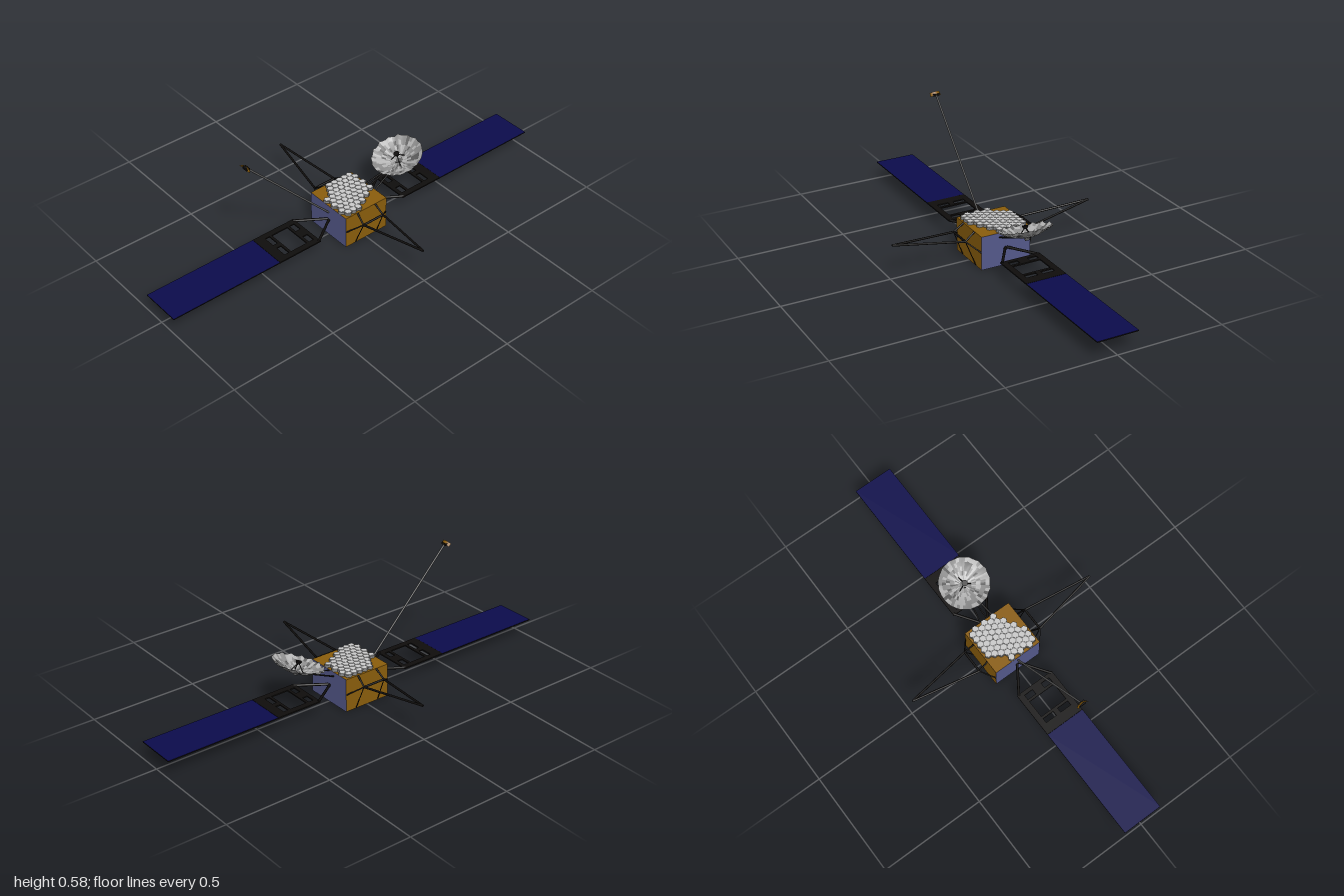
import * as THREE from 'three';

const mat = (name, color, side = THREE.FrontSide) => {
  const m = new THREE.MeshStandardMaterial({ color, side });
  m.name = name;
  return m;
};
const V = (x, y, z) => new THREE.Vector3(x, y, z);

export function createModel() {
  const root = new THREE.Group();
  root.name = 'spacecraft';
  const gold = mat('gold foil', 0x8a5d0c, THREE.DoubleSide);
  const blue = mat('slate blue side', 0x54588a);
  const navy = mat('solar navy', 0x0b0b4c);
  const black = mat('black strut', 0x0f0d0c);
  const grey = mat('mast grey', 0x5a5a5a);
  const white = mat('cell white', 0xcacaca);
  const cellGrey = mat('cell wall grey', 0x8c8c8c);
  const foilLight = mat('foil light', 0xb4b4b4, THREE.DoubleSide);
  const foilMid = mat('foil mid', 0x8e8e8e, THREE.DoubleSide);
  const foilDark = mat('foil dark', 0x626262, THREE.DoubleSide);

  const add = (parent, name, geo, m, x = 0, y = 0, z = 0) => {
    const mesh = new THREE.Mesh(geo, m);
    mesh.name = name;
    mesh.position.set(x, y, z);
    parent.add(mesh);
    return mesh;
  };
  const group = (name, parent = root) => {
    const g = new THREE.Group();
    g.name = name;
    parent.add(g);
    return g;
  };
  // Round bar between two points
  const bar = (parent, name, a, b, r, m = black) => {
    const mesh = add(parent, name, new THREE.CylinderGeometry(r, r, a.distanceTo(b), 8), m);
    mesh.position.copy(a).add(b).multiplyScalar(0.5);
    mesh.quaternion.setFromUnitVectors(V(0, 1, 0), b.clone().sub(a).normalize());
    return mesh;
  };

  // Body: foil box with blue side faces
  add(root, 'body', new THREE.BoxGeometry(0.23, 0.158, 0.24),
    [blue, blue, gold, gold, gold, gold], 0, 0.079, 0);

  // Hexagonal cells on the top deck, in a diagonal band
  const cells = group('topCells');
  const R = 0.0165, dx = R * Math.sqrt(3);
  const wall = new THREE.CylinderGeometry(R, R, 0.012, 6);
  const cap = new THREE.CylinderGeometry(R * 0.84, R * 0.84, 0.002, 6);
  for (let row = -4; row <= 4; row++) {
    for (let col = -4; col <= 4; col++) {
      const x = (col + (row % 2 ? 0.5 : 0)) * dx, z = row * R * 1.5;
      if (Math.abs(x) > 0.104 || x + z < -0.135 || x + z * 1.5 > 0.14) continue;
      add(cells, 'cellWall', wall, cellGrey, x, 0.164, z);
      add(cells, 'cellCap', cap, white, x, 0.171, z);
    }
  }

  // Solar wings, one on each side
  const rect = (x0, x1, z0, z1) => new THREE.Path([
    new THREE.Vector2(x0, z0), new THREE.Vector2(x0, z1),
    new THREE.Vector2(x1, z1), new THREE.Vector2(x1, z0)]);
  for (const s of [-1, 1]) {
    const wing = group(s > 0 ? 'leftWing' : 'rightWing');
    add(wing, 'solarPanel', new THREE.BoxGeometry(0.543, 0.005, 0.192),
      [black, black, navy, navy, black, black], s * 0.7285, 0.083, 0);

    // Open frame between yoke and panel
    const outline = new THREE.Shape([[0.235, -0.096], [0.456, -0.096], [0.456, 0.096], [0.235, 0.096]]
      .map(([x, z]) => new THREE.Vector2(x, z)));
    outline.holes.push(rect(0.29, 0.375, -0.068, 0.068));
    for (const k of [-1, 1]) {
      outline.holes.push(rect(0.387, 0.41, Math.min(k * 0.012, k * 0.068), Math.max(k * 0.012, k * 0.068)));
      outline.holes.push(rect(0.253, 0.278, Math.min(k * 0.024, k * 0.068), Math.max(k * 0.024, k * 0.068)));
    }
    const frame = new THREE.ExtrudeGeometry(outline, { depth: 0.006, bevelEnabled: false });
    frame.translate(0, 0, -0.003).rotateX(Math.PI / 2);
    if (s < 0) frame.rotateY(Math.PI);
    add(wing, 'wingFrame', frame, black, 0, 0.083, 0);

    // V-shaped yoke
    for (const k of [-1, 1]) {
      bar(wing, 'yokeArm', V(s * 0.115, 0.083, k * 0.004), V(s * 0.242, 0.083, k * 0.09), 0.006);
    }
  }

  // Pointed booms at front and back with their bracing
  for (const s of [-1, 1]) {
    const boom = group(s > 0 ? 'frontBoom' : 'backBoom');
    const tip = V(0, 0.157, s * 0.487);
    bar(boom, 'boomCrossbar', V(-0.055, 0.123, s * 0.167), V(0.055, 0.123, s * 0.167), 0.005);
    for (const k of [-1, 1]) {
      const knee = V(k * 0.055, 0.123, s * 0.167);
      bar(boom, 'boomLeg', knee, tip, 0.005);
      bar(boom, 'upperBrace', knee, V(k * 0.05, 0.157, s * 0.12), 0.004);
      bar(boom, 'sideBrace', knee, V(k * 0.113, 0.083, s * 0.12), 0.003);
      bar(boom, 'lowerBrace', knee, V(k * 0.06, 0.002, s * 0.12), 0.002);
    }
  }

  // Long sensor mast with a curved foil hood at its end
  const mast = group('sensorMast');
  const foot = V(-0.113, 0.12, 0), top = V(-0.54, 0.574, 0);
  bar(mast, 'mastPole', foot, top, 0.0045, grey);
  const hood = add(mast, 'mastHood',
    new THREE.CylinderGeometry(0.03, 0.03, 0.018, 12, 1, true, -1, 2), gold);
  hood.geometry.translate(0, 0, -0.024);
  const axis = top.clone().sub(foot).normalize();
  const up = V(-axis.y, axis.x, 0).negate();
  hood.quaternion.setFromRotationMatrix(
    new THREE.Matrix4().makeBasis(axis.clone().cross(up), axis, up));
  hood.position.copy(top);
  add(mast, 'mastSensor', new THREE.BoxGeometry(0.016, 0.01, 0.03), black, -0.538, 0.57, 0);

  // Crinkled dish, built from rings; each radial gore takes one foil shade
  const dish = group('dish');
  dish.position.set(0.292, 0.205, 0);
  dish.rotation.z = 0.33;
  let seed = 7;
  const rnd = () => (seed = (seed * 16807) % 2147483647) / 2147483647;
  const N = 48, M = 6, pos = [], idx = [];
  for (let j = 0; j <= M; j++) {
    for (let i = 0; i < N; i++) {
      const t = j / M, a = (i / N) * Math.PI * 2;
      const r = 0.117 * t * (1 + 0.012 * Math.cos(a * 16));
      const y = 0.04 * t * t + t * (0.004 * Math.cos(a * 16) + (rnd() - 0.5) * 0.006);
      pos.push(r * Math.cos(a), y, r * Math.sin(a));
    }
  }
  const geo = new THREE.BufferGeometry();
  for (let i = 0; i < N; i++) {
    for (let j = 0; j < M; j++) {
      const n = (i + 1) % N, a = j * N + i, b = j * N + n, c = a + N, d = b + N;
      geo.addGroup(idx.length, 6, Math.floor(rnd() * 2.4));
      idx.push(a, b, d, a, d, c);
    }
  }
  geo.setAttribute('position', new THREE.Float32BufferAttribute(pos, 3));
  geo.setIndex(idx);
  geo.computeVertexNormals();
  add(dish, 'reflector', geo, [foilLight, foilMid, foilDark]);
  add(dish, 'dishHub', new THREE.CylinderGeometry(0.014, 0.01, 0.014, 12), grey, 0, -0.005, 0);
  add(dish, 'feedHorn', new THREE.CylinderGeometry(0.014, 0.009, 0.012, 12), black, 0, 0.045, 0);
  for (let i = 0; i < 3; i++) {
    const a = (i / 3) * Math.PI * 2;
    bar(dish, 'feedLeg', V(0, 0.045, 0), V(0.035 * Math.cos(a), 0.004, 0.035 * Math.sin(a)), 0.002);
  }

  // Tripod arm holding the dish
  const arm = group('dishArm');
  for (const z of [-0.033, 0.033]) {
    bar(arm, 'armLeg', V(0.114, 0.137, z), V(0.292, 0.203, 0), 0.0035);
  }
  bar(arm, 'armStrut', V(0.114, 0.153, 0), V(0.292, 0.203, 0), 0.003);
  return root;
}
